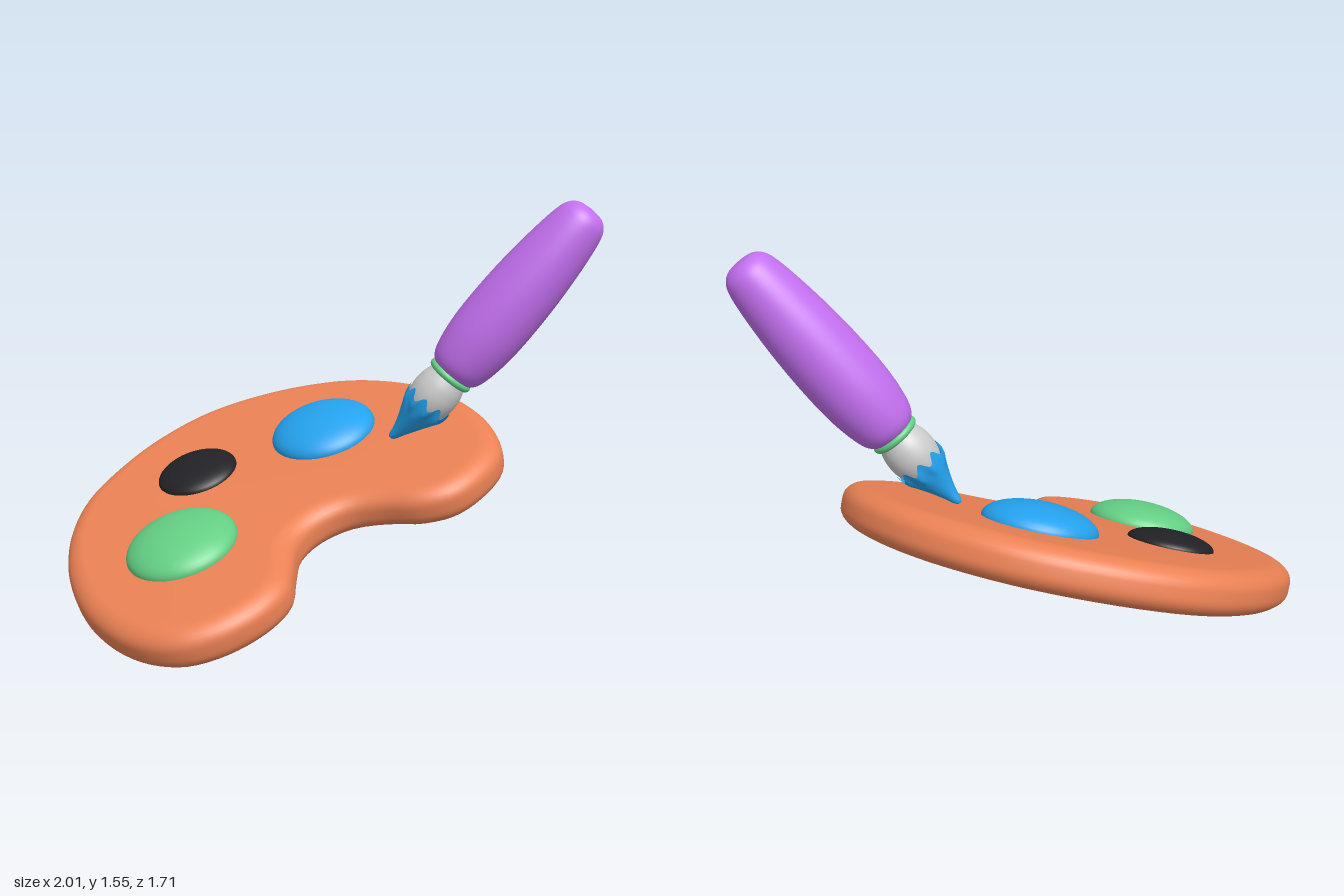
import * as THREE from 'three';
import { mergeVertices, toCreasedNormals } from 'three/addons/utils/BufferGeometryUtils.js';

const UP = new THREE.Vector3(0, 1, 0);
const SLOPE_X = 0.16, SLOPE_Z = -0.323, HEIGHT = 0.373, HALF = 0.083;

function part(name, geometry, color) {
  const mesh = new THREE.Mesh(geometry, new THREE.MeshStandardMaterial({ color }));
  mesh.name = name;
  return mesh;
}

// Lathe from [height, radius] pairs listed bottom to top, smoothed by a spline
function lathe(points, steps = 40, sides = 48) {
  const curve = new THREE.SplineCurve(points.map(([h, r]) => new THREE.Vector2(r, h)));
  const profile = curve.getPoints(steps).map(p => p.setX(Math.max(p.x, 0)));
  return new THREE.LatheGeometry(profile, sides);
}

function makePalette() {
  const palette = new THREE.Group();
  palette.name = 'palette';
  palette.position.y = HEIGHT;
  palette.quaternion.setFromUnitVectors(UP, new THREE.Vector3(-SLOPE_X, 1, -SLOPE_Z).normalize());
  const inverse = palette.quaternion.clone().invert();
  // Plan position lifted onto the tilted plane, in palette space
  const onPlane = (x, z) =>
    new THREE.Vector3(x, SLOPE_X * x + SLOPE_Z * z, z).applyQuaternion(inverse);

  // Kidney-shaped board with a thumb notch
  const outline = [
    [-0.998, -0.02], [-0.97, -0.22], [-0.882, -0.45], [-0.712, -0.66], [-0.45, -0.795], [-0.155, -0.845],
    [0.07, -0.815], [0.3, -0.72], [0.5, -0.56], [0.635, -0.38], [0.695, -0.21], [0.655, -0.06],
    [0.57, 0.05], [0.45, 0.092], [0.3, 0.087], [0.18, 0.107], [0.088, 0.18], [0.048, 0.29],
    [0.073, 0.42], [0.102, 0.55], [0.058, 0.67], [-0.06, 0.79], [-0.2, 0.845], [-0.385, 0.818],
    [-0.612, 0.685], [-0.815, 0.465], [-0.95, 0.21]
  ].map(([x, z]) => onPlane(x, z));
  const loop = new THREE.CatmullRomCurve3(outline, true).getSpacedPoints(140).slice(0, -1);
  const shape = new THREE.Shape(loop.map(p => new THREE.Vector2(p.x, -p.z)));
  const bevel = 0.066;
  const board = new THREE.ExtrudeGeometry(shape, {
    depth: 2 * (HALF - bevel), bevelThickness: bevel, bevelSize: 0.085, bevelOffset: -0.085, bevelSegments: 8
  });
  board.translate(0, 0, bevel - HALF).rotateX(-Math.PI / 2);
  palette.add(part('board', toCreasedNormals(board, 0.7), 0xec8255));

  // Domed blobs of paint
  const blobs = [
    ['bluePaint', -0.085, -0.37, 0.217, 0.085, 0x24a2ee],
    ['blackPaint', -0.545, -0.12, 0.165, 0.05, 0x222226],
    ['greenPaint', -0.4, 0.36, 0.217, 0.085, 0x64cf84]
  ];
  for (const [name, x, z, r, h, color] of blobs) {
    const blob = part(name, new THREE.SphereGeometry(1, 48, 24), color);
    blob.scale.set(r, h, r);
    blob.position.copy(onPlane(x, z)).y += HALF;
    // Shift in plan so the lifted blob stays over its spot
    blob.position.x += SLOPE_X * HALF;
    blob.position.z += SLOPE_Z * HALF;
    palette.add(blob);
  }
  return palette;
}

function makeBrush() {
  const brush = new THREE.Group();
  brush.name = 'brush';
  brush.position.set(0.46, 0.858, -0.303);
  brush.quaternion.setFromUnitVectors(UP, new THREE.Vector3(0.6, 0.786, -0.15).normalize());

  brush.add(part('handle', lathe([
    [0, 0], [0.003, 0.06], [0.018, 0.095], [0.07, 0.12], [0.19, 0.138], [0.34, 0.141], [0.5, 0.134],
    [0.65, 0.119], [0.75, 0.103], [0.795, 0.085], [0.82, 0.052], [0.827, 0]
  ], 60), 0xc470f0));

  const collar = new THREE.TorusGeometry(0.08, 0.015, 16, 48).rotateX(Math.PI / 2);
  brush.add(part('collar', collar, 0x64cf84));

  brush.add(part('ferrule', lathe([
    [-0.21, 0], [-0.2, 0.05], [-0.16, 0.082], [-0.11, 0.095], [-0.06, 0.093], [-0.02, 0.082], [0.01, 0.07]
  ]), 0xcccccc));

  // Bristles: wavy upper edge and a slightly bent tip
  let bristles = lathe([
    [-0.352, 0], [-0.345, 0.014], [-0.3, 0.03], [-0.25, 0.052], [-0.2, 0.077], [-0.165, 0.092], [-0.135, 0.099]
  ], 40, 144);
  const bend = new THREE.Vector3(-0.014, 0.018, -0.025).applyQuaternion(brush.quaternion.clone().invert());
  const pos = bristles.attributes.position;
  for (let i = 0; i < pos.count; i++) {
    const x = pos.getX(i), y = pos.getY(i), z = pos.getZ(i);
    const edge = THREE.MathUtils.smoothstep(y, -0.22, -0.135);
    const tip = Math.pow(THREE.MathUtils.clamp((-0.135 - y) / 0.217, 0, 1), 2);
    const wave = 0.018 * edge * Math.sin(9 * Math.atan2(z, x));
    pos.setXYZ(i, x + bend.x * tip, y + wave, z + bend.z * tip);
  }
  bristles.deleteAttribute('normal');
  bristles.deleteAttribute('uv');
  bristles = mergeVertices(bristles, 1e-5);
  bristles.computeVertexNormals();
  const bristleMesh = part('bristles', bristles, 0x24a2ee);
  bristleMesh.material.side = THREE.DoubleSide;
  brush.add(bristleMesh);
  return brush;
}

export function createModel() {
  const model = new THREE.Group();
  model.name = 'paintPaletteAndBrush';
  model.add(makePalette(), makeBrush());
  return model;
}
